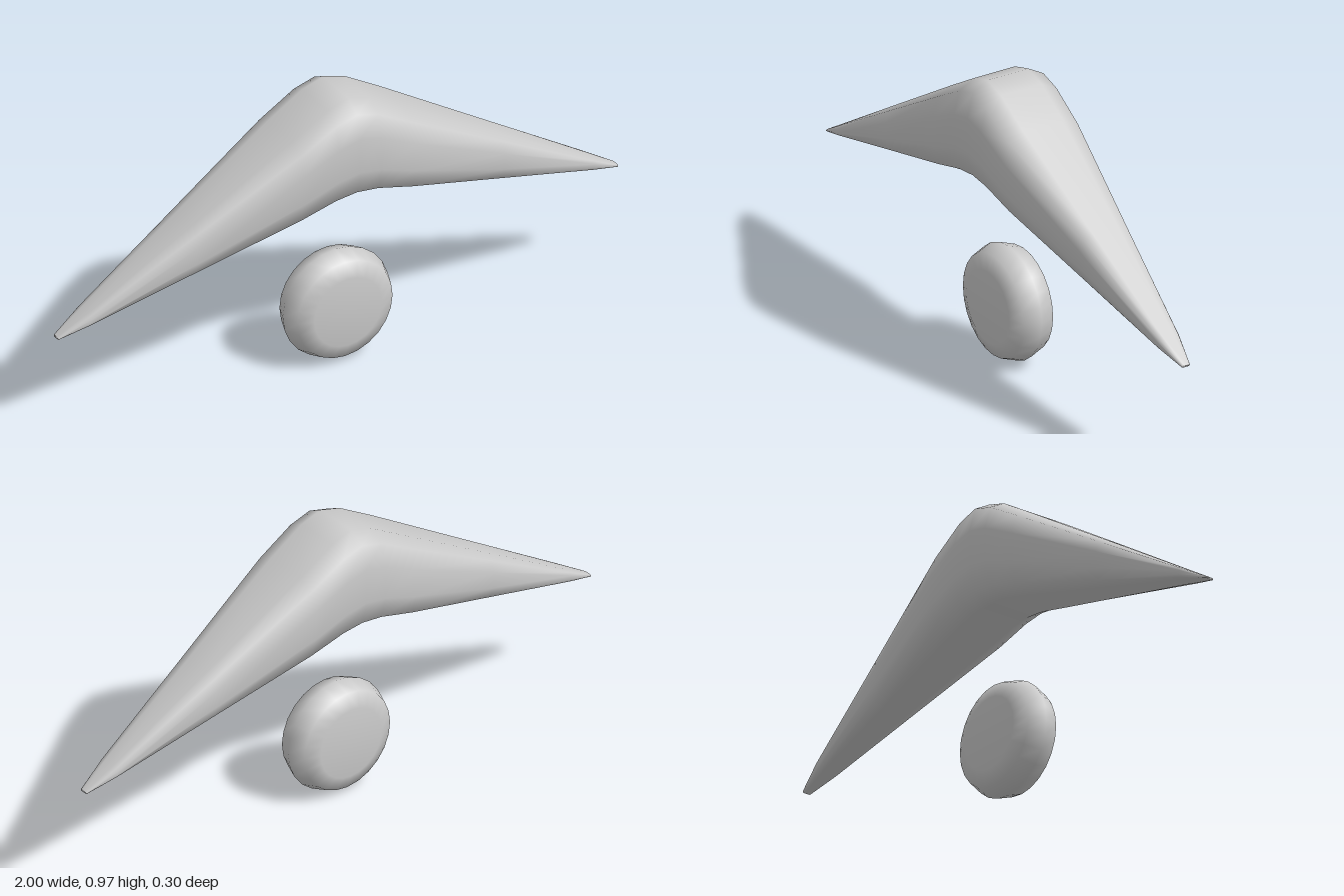
import * as THREE from 'three';

const material = () => new THREE.MeshStandardMaterial({ color: 0xcccccc });

// Chevron: a bevelled cross-section lofted from tip to tip
function chevronGeometry() {
  // x, top y, bottom y, half depth
  const half = [
    [0, 0.97, 0.628, 0.15],
    [0.075, 0.947, 0.621, 0.15],
    [0.2, 0.872, 0.59, 0.146],
    [0.55, 0.657, 0.496, 0.093],
    [0.9, 0.441, 0.402, 0.041],
    [1, 0.38, 0.372, 0.015],
  ];
  const stations = [
    ...half.slice(1).reverse().map(([x, ...rest]) => [-x, ...rest]),
    ...half,
  ];
  // Unit section as (z, y), going from the top towards +z
  const side = [[0.5, 1], [0.87, 0.82], [1, 0.35], [1, -0.35], [0.87, -0.82], [0.5, -1]];
  const section = [...side, ...side.map(([z, y]) => [-z, -y])];
  const n = section.length;

  const positions = [];
  const index = [];
  for (const [x, top, bottom, depth] of stations) {
    for (const [z, y] of section) {
      positions.push(x, (top + bottom) / 2 + (y * (top - bottom)) / 2, z * depth);
    }
  }
  for (let i = 0; i < stations.length - 1; i++) {
    for (let j = 0; j < n; j++) {
      const a = i * n + j, b = i * n + ((j + 1) % n);
      index.push(a, b, a + n, b, b + n, a + n);
    }
  }
  // Close both tips
  const last = (stations.length - 1) * n;
  for (let j = 1; j < n - 1; j++) {
    index.push(0, j + 1, j, last, last + j, last + j + 1);
  }
  const geometry = new THREE.BufferGeometry();
  geometry.setAttribute('position', new THREE.Float32BufferAttribute(positions, 3));
  geometry.setIndex(index);
  geometry.computeVertexNormals();
  return geometry;
}

// Disc: a rounded puck facing front and back
function discGeometry() {
  const profile = [
    [0, -0.075], [0.12, -0.075], [0.17, -0.055], [0.19, 0],
    [0.17, 0.055], [0.12, 0.075], [0, 0.075],
  ].map(([r, y]) => new THREE.Vector2(r, y));
  return new THREE.LatheGeometry(profile, 24).rotateX(Math.PI / 2);
}

export function createModel() {
  const group = new THREE.Group();
  group.name = 'chevronAndDisc';

  const chevron = new THREE.Mesh(chevronGeometry(), material());
  chevron.name = 'chevron';

  const disc = new THREE.Mesh(discGeometry(), material());
  disc.name = 'disc';
  disc.position.y = 0.192;

  group.add(chevron, disc);
  return group;
}
